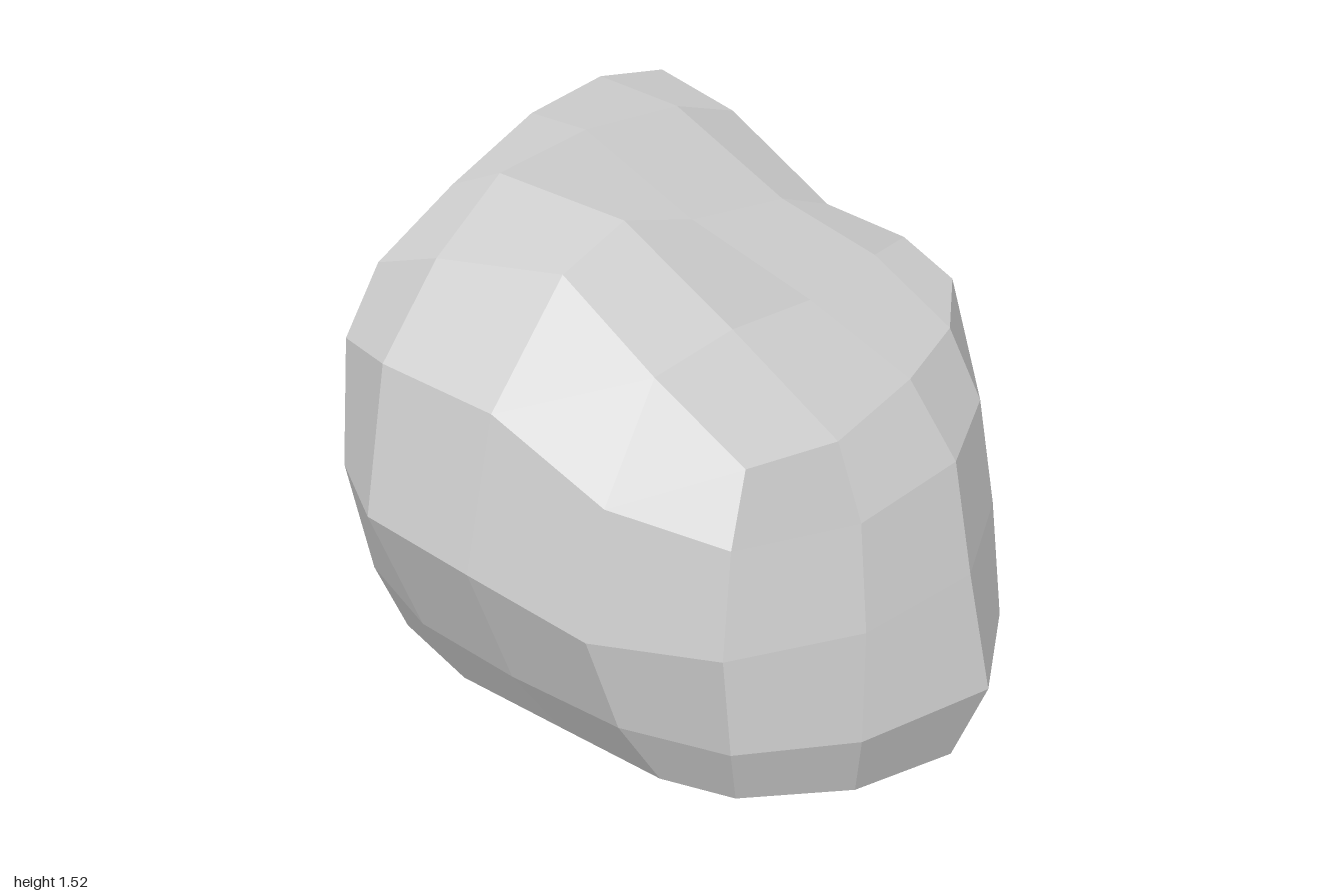
import * as THREE from 'three';

// Five tilted cross-sections, bottom to top. Each holds eight points, counterclockwise from above:
// front, front +x corner, +x side, back +x corner, back, back -x corner, -x side, front -x corner.
const sections = [
  [[-0.01, 0.08, 0.92], [0.57, 0.11, 0.63], [0.69, 0.1, 0], [0.71, 0.2, -0.69],
    [0.1, 0.16, -0.74], [-0.53, 0.16, -0.61], [-0.59, 0.1, 0.02], [-0.57, 0.11, 0.61]],
  [[0.03, 0.3, 1], [0.64, 0.3, 0.6], [0.76, 0.34, -0.05], [0.78, 0.4, -0.74],
    [0.12, 0.37, -0.92], [-0.59, 0.36, -0.67], [-0.72, 0.31, -0.03], [-0.62, 0.28, 0.63]],
  [[0.07, 0.6, 0.9], [0.72, 0.61, 0.46], [0.74, 0.69, -0.04], [0.76, 0.75, -0.77],
    [0.15, 0.75, -1], [-0.64, 0.7, -0.71], [-0.855, 0.68, -0.05], [-0.63, 0.56, 0.61]],
  [[0.13, 0.88, 0.8], [0.67, 0.94, 0.47], [0.77, 1.02, -0.06], [0.79, 1.24, -0.74],
    [0.14, 1.23, -0.91], [-0.61, 1.08, -0.7], [-0.74, 1.1, -0.05], [-0.56, 0.84, 0.58]],
  [[0.14, 1.07, 0.64], [0.67, 1.12, 0.43], [0.75, 1.2, -0.06], [0.76, 1.48, -0.69],
    [0.14, 1.52, -0.67], [-0.51, 1.28, -0.66], [-0.44, 1.38, -0.06], [-0.49, 1.04, 0.57]],
];

// Dents and knobs that leave the smooth outline: point index on the ring of each section
const dents = [
  { 3: [0.63, 0.07, 0.41], 5: [0.74, 0.16, -0.44], 7: [0.47, 0.17, -0.74], 9: [-0.28, 0.15, -0.71], 13: [-0.6, 0.09, 0.38] },
  { 1: [0.38, 0.3, 0.82], 3: [0.72, 0.29, 0.31], 5: [0.8, 0.4, -0.44], 13: [-0.71, 0.29, 0.33], 15: [-0.36, 0.28, 0.86] },
  { 3: [0.75, 0.65, 0.21], 5: [0.78, 0.73, -0.45], 11: [-0.84, 0.72, -0.42], 13: [-0.81, 0.59, 0.31] },
  { 3: [0.75, 0.99, 0.24], 5: [0.85, 1.15, -0.45], 11: [-0.74, 1.13, -0.43], 13: [-0.74, 0.95, 0.32] },
  { 3: [0.72, 1.18, 0.23], 5: [0.8, 1.39, -0.45], 7: [0.53, 1.51, -0.74], 9: [-0.26, 1.44, -0.61], 11: [-0.51, 1.35, -0.44] },
];

// Inner 3 x 3 points of the caps, front row first, from -x to +x
const topInner = [
  [[-0.23, 1.26, 0.33], [0.1, 1.23, 0.34], [0.48, 1.22, 0.29]],
  [[-0.19, 1.45, -0.06], [0.1, 1.36, -0.06], [0.52, 1.29, -0.06]],
  [[-0.23, 1.5, -0.46], [0.13, 1.52, -0.46], [0.53, 1.48, -0.45]],
];
const bottomInner = [
  [[-0.38, 0.02, 0.46], [0, 0, 0.65], [0.4, 0.02, 0.43]],
  [[-0.36, 0.05, 0.02], [0.01, 0.03, 0.08], [0.42, 0.04, 0]],
  [[-0.29, 0.11, -0.38], [0.06, 0.09, -0.44], [0.42, 0.1, -0.44]],
];

// Sixteen points round a cross-section
function makeRing(points, level) {
  const curve = new THREE.CatmullRomCurve3(points.map((p) => new THREE.Vector3(...p)), true);
  return Array.from({ length: 16 }, (_, i) => dents[level][i] ?? curve.getPoint(i / 16).toArray());
}

// 5 x 5 grid that joins a ring to its inner cap points
function capGrid(ring, inner) {
  const grid = [];
  for (let r = 0; r < 5; r++) {
    grid.push([]);
    for (let c = 0; c < 5; c++) {
      let p;
      if (r === 0) p = ring[(14 + c) % 16];
      else if (r === 4) p = ring[10 - c];
      else if (c === 0) p = ring[14 - r];
      else if (c === 4) p = ring[2 + r];
      else p = inner[r - 1][c - 1];
      grid[r].push(p);
    }
  }
  return grid;
}

export function createModel() {
  const positions = [];
  const normals = [];

  // Four-sided facet with a single normal, so that it shades as one plane
  function quad(a, b, c, d) {
    const [va, vb, vc, vd] = [a, b, c, d].map((p) => new THREE.Vector3(...p));
    const normal = vc.sub(va).cross(vd.sub(vb)).normalize().toArray();
    positions.push(...a, ...b, ...c, ...a, ...c, ...d);
    for (let i = 0; i < 6; i++) normals.push(...normal);
  }

  // Sides
  const rings = sections.map(makeRing);
  for (let l = 0; l < 4; l++) {
    for (let i = 0; i < 16; i++) {
      const j = (i + 1) % 16;
      quad(rings[l][i], rings[l][j], rings[l + 1][j], rings[l + 1][i]);
    }
  }

  // Sloping top and nearly flat underside
  const top = capGrid(rings[4], topInner);
  const bottom = capGrid(rings[0], bottomInner);
  for (let r = 0; r < 4; r++) {
    for (let c = 0; c < 4; c++) {
      quad(top[r][c], top[r][c + 1], top[r + 1][c + 1], top[r + 1][c]);
      quad(bottom[r][c], bottom[r + 1][c], bottom[r + 1][c + 1], bottom[r][c + 1]);
    }
  }

  const geometry = new THREE.BufferGeometry();
  geometry.setAttribute('position', new THREE.Float32BufferAttribute(positions, 3));
  geometry.setAttribute('normal', new THREE.Float32BufferAttribute(normals, 3));

  const boulder = new THREE.Mesh(geometry, new THREE.MeshStandardMaterial({ color: 0xcccccc }));
  boulder.name = 'boulder';

  const model = new THREE.Group();
  model.name = 'rock';
  model.add(boulder);
  return model;
}
